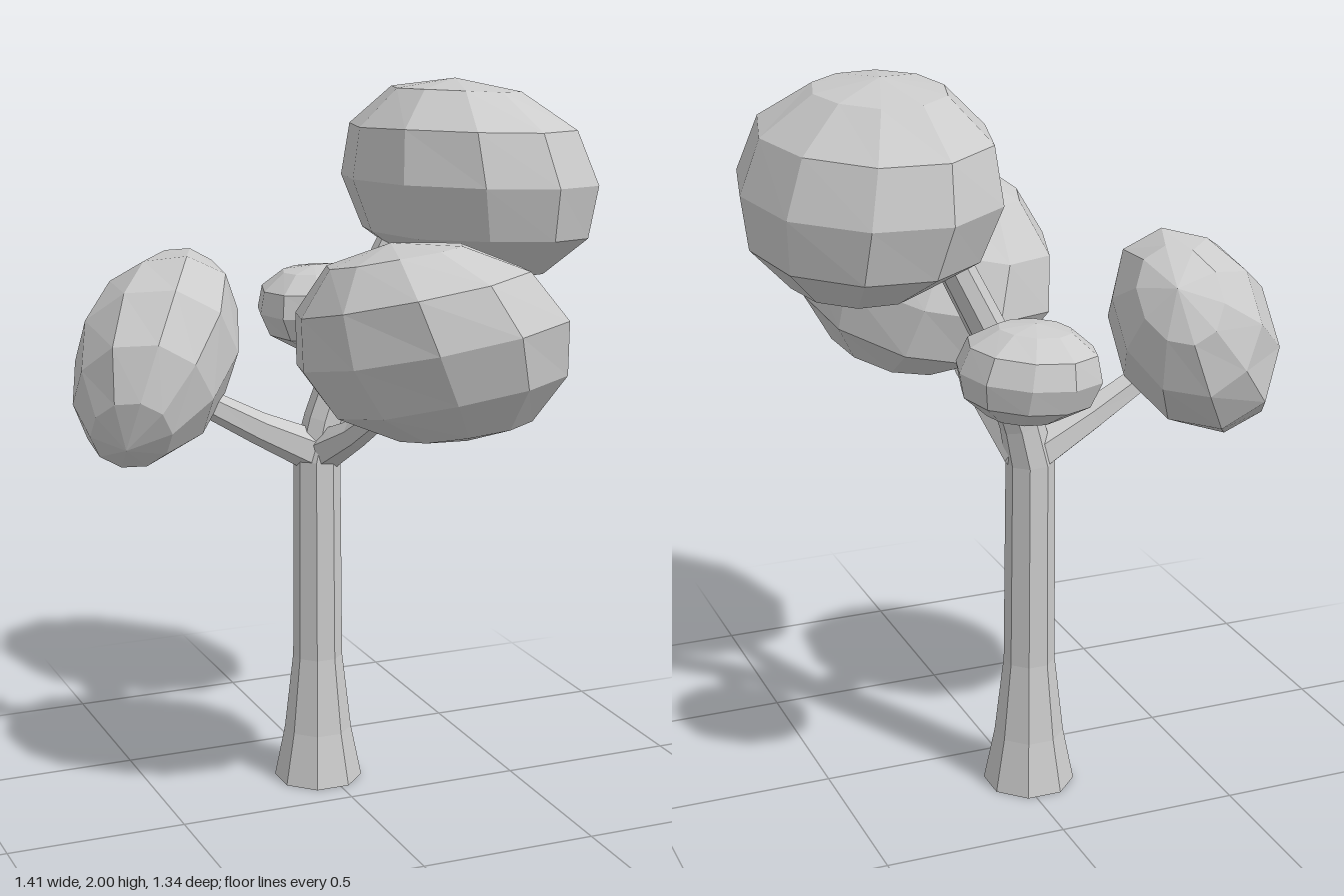
import * as THREE from 'three';

const UP = new THREE.Vector3(0, 1, 0);
const material = new THREE.MeshStandardMaterial({ color: 0xcccccc, flatShading: true });

function addMesh(group, name, geometry) {
  geometry.computeVertexNormals();
  const mesh = new THREE.Mesh(geometry, material);
  mesh.name = name;
  group.add(mesh);
}

// Tapered limb: a cylinder whose rings follow stations [x, y, z, radius].
function limb(sides, stations) {
  const n = stations.length - 1;
  const geometry = new THREE.CylinderGeometry(1, 1, 1, sides, n);
  geometry.rotateY(Math.PI / sides);
  const points = stations.map(([x, y, z]) => new THREE.Vector3(x, y, z));
  const turns = points.map((p, i) => {
    const along = points[Math.min(i + 1, n)].clone().sub(points[Math.max(i - 1, 0)]).normalize();
    return new THREE.Quaternion().setFromUnitVectors(UP, along);
  });
  const pos = geometry.attributes.position;
  const v = new THREE.Vector3();
  for (let i = 0; i < pos.count; i++) {
    v.fromBufferAttribute(pos, i);
    const k = Math.round((v.y + 0.5) * n);
    v.setY(0).multiplyScalar(stations[k][3]).applyQuaternion(turns[k]).add(points[k]);
    pos.setXYZ(i, v.x, v.y, v.z);
  }
  return geometry;
}

// Leaning leaf mass: a slightly squared faceted ball with its pole turned,
// sheared by (xy, xz, yz) and fitted to a box.
function leafMass(min, max, [xy, xz, yz], pole) {
  const geometry = new THREE.SphereGeometry(1, 10, 6);
  const turn = new THREE.Quaternion().setFromUnitVectors(UP, new THREE.Vector3(...pole).normalize());
  geometry.applyQuaternion(turn);
  const pos = geometry.attributes.position;
  const power = 2.25;
  const v = new THREE.Vector3();
  for (let i = 0; i < pos.count; i++) {
    v.fromBufferAttribute(pos, i);
    const sum = v.toArray().reduce((s, e) => s + Math.abs(e) ** power, 0);
    v.divideScalar(sum ** (1 / power));
    pos.setXYZ(i, v.x, v.y, v.z);
  }
  const b = Math.sqrt(1 - xy * xy);
  const c = (yz - xy * xz) / b;
  const d = Math.sqrt(1 - xz * xz - c * c);
  geometry.applyMatrix4(new THREE.Matrix4().set(
    1, 0, 0, 0,
    xy, b, 0, 0,
    xz, c, d, 0,
    0, 0, 0, 1));
  geometry.computeBoundingBox();
  const box = geometry.boundingBox;
  const target = new THREE.Box3(new THREE.Vector3(...min), new THREE.Vector3(...max));
  const centre = box.getCenter(new THREE.Vector3());
  const scale = target.getSize(new THREE.Vector3()).divide(box.getSize(new THREE.Vector3()));
  const to = target.getCenter(new THREE.Vector3());
  geometry.translate(-centre.x, -centre.y, -centre.z);
  geometry.scale(scale.x, scale.y, scale.z);
  geometry.translate(to.x, to.y, to.z);
  return geometry;
}

export function createModel() {
  const tree = new THREE.Group();
  tree.name = 'tree';

  // Flared trunk, bending at the fork and running up into the top leaves
  addMesh(tree, 'trunk', limb(8, [
    [-0.025, 0, -0.195, 0.125], [-0.025, 0.15, -0.195, 0.095],
    [-0.025, 0.37, -0.195, 0.07], [-0.025, 0.95, -0.195, 0.066],
    [0.0, 1.06, -0.195, 0.06], [0.09, 1.32, -0.195, 0.051], [0.23, 1.6, -0.19, 0.046],
  ]));

  // Limbs reaching into the other leaf masses
  const limbs = {
    rightBranch: [[-0.03, 0.97, -0.195, 0.06], [-0.2, 1.055, -0.19, 0.045],
      [-0.34, 1.135, -0.185, 0.038], [-0.46, 1.22, -0.19, 0.032]],
    frontBranch: [[-0.01, 0.97, -0.19, 0.06], [0.025, 1.055, -0.03, 0.04],
      [0.05, 1.13, 0.08, 0.033], [0.07, 1.24, 0.18, 0.028]],
    backBranch: [[0.075, 1.31, -0.19, 0.036], [0.075, 1.32, -0.32, 0.034],
      [0.09, 1.34, -0.45, 0.025]],
  };
  for (const [name, stations] of Object.entries(limbs)) addMesh(tree, name, limb(6, stations));

  // Leaf masses
  addMesh(tree, 'topLeaves', leafMass([0.08, 1.44, -0.49], [0.705, 2, 0.255], [-0.15, 0.18, 0.06], [-0.12, 1, -0.08]));
  addMesh(tree, 'frontLeaves', leafMass([-0.24, 1.1, -0.045], [0.415, 1.64, 0.67], [-0.08, 0.18, 0.22], [-0.3, 0.9, -0.2]));
  addMesh(tree, 'rightLeaves', leafMass([-0.71, 0.99, -0.51], [-0.245, 1.55, 0.04], [0.28, -0.2, -0.05], [0.6, 0.5, -0.6]));
  addMesh(tree, 'backLeaves', leafMass([-0.07, 1.19, -0.67], [0.285, 1.44, -0.33], [0, 0.1, 0], [-0.1, 1, 0]));

  return tree;
}
